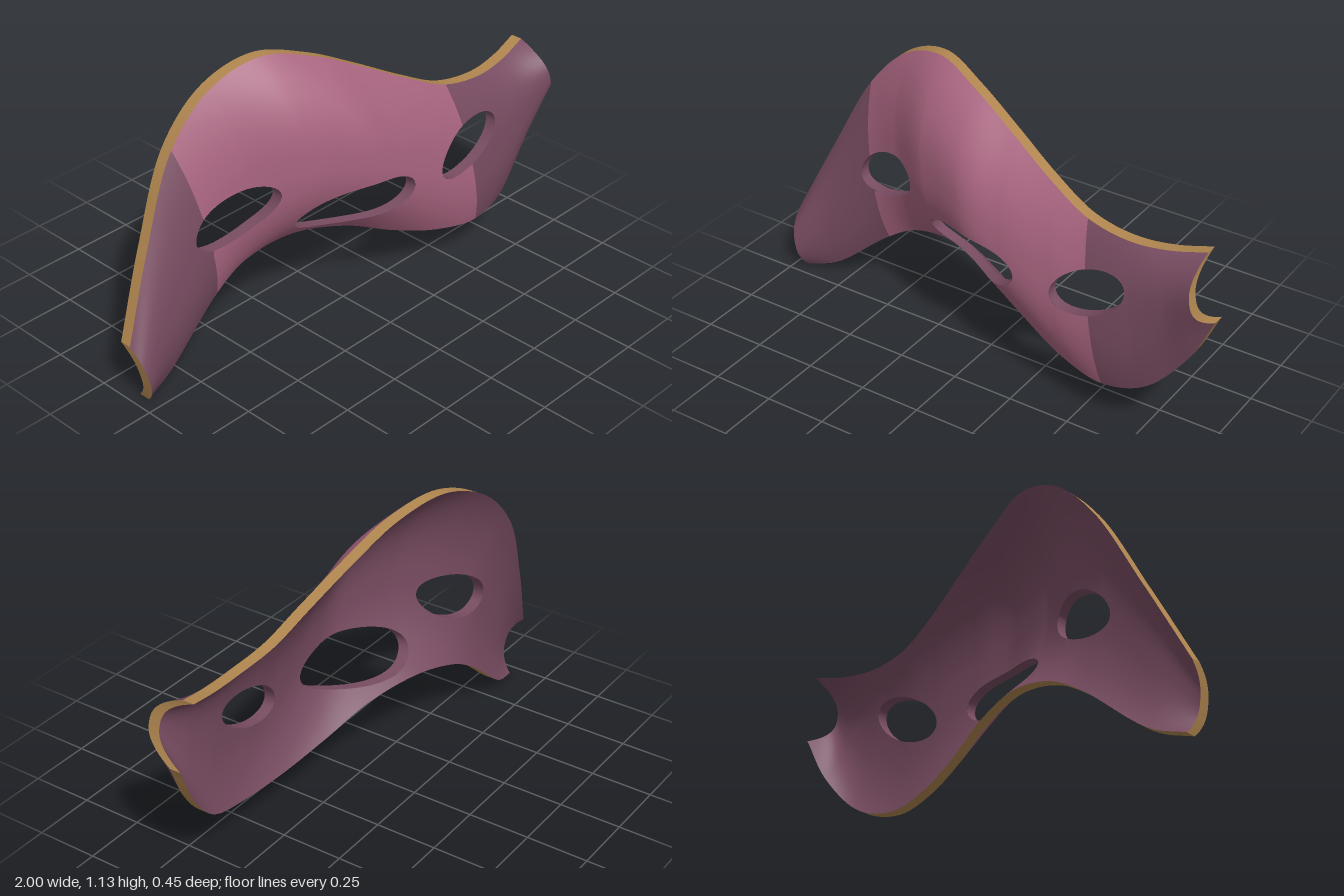
import * as THREE from 'three';

const THICK = 0.047, U = 220, V = 56;

// Stations from the model's right end to its left end:
// top edge x y z, bottom edge x y z, depth at mid height, sideways bow
const stations = [
  [-1.0, 0.25, -0.085, -0.95, 0.003, -0.06, -0.015, -0.005],
  [-0.85, 0.56, -0.14, -0.82, 0.045, -0.085, -0.06, 0],
  [-0.68, 0.88, -0.18, -0.56, 0.25, -0.105, -0.08, 0],
  [-0.5, 1.06, -0.165, -0.42, 0.33, -0.1, -0.03, 0],
  [-0.3, 1.13, -0.115, -0.22, 0.37, -0.06, 0.085, 0],
  [-0.1, 1.08, -0.045, 0.0, 0.335, 0.01, 0.16, 0],
  [0.1, 0.98, 0.01, 0.2, 0.25, 0.075, 0.172, 0],
  [0.3, 0.87, 0.06, 0.4, 0.185, 0.13, 0.172, 0],
  [0.47, 0.79, 0.09, 0.59, 0.163, 0.165, 0.18, 0],
  [0.65, 0.765, 0.105, 0.76, 0.21, 0.155, 0.188, 0],
  [0.8, 0.775, 0.095, 0.91, 0.37, 0.12, 0.197, -0.005],
  [0.94, 0.805, 0.075, 1.0, 0.55, 0.1, 0.22, -0.017],
];
const curve = (f) => new THREE.CatmullRomCurve3(stations.map((s) => new THREE.Vector3(...f(s))));
const topEdge = curve((s) => [s[0], s[1], s[2]]);
const bottomEdge = curve((s) => [s[3], s[4], s[5]]);
const bulge = curve((s) => [s[7], 0, s[6] - (s[2] + s[5]) / 2]);
// Seams of the wings, as grid columns
const SEAMS = [0, (U * 2) / 11, (U * 8) / 11, U];

// Front surface: a bowed cross-section swept between the two edges
function surface(u, v) {
  const bow = 1 - Math.pow(Math.abs(2 * v - 1), 2.4);
  return bottomEdge.getPoint(u).lerp(topEdge.getPoint(u), v).addScaledVector(bulge.getPoint(u), bow);
}

// Tilted elliptical openings: centre, half axes, tilt
const holes = [
  { name: 'rightEyeWall', x: -0.51, y: 0.58, a: 0.171, b: 0.091, tilt: 0.44 },
  { name: 'middleOpeningWall', x: -0.027, y: 0.484, a: 0.237, b: 0.102, tilt: 0.05 },
  { name: 'leftEyeWall', x: 0.52, y: 0.535, a: 0.166, b: 0.086, tilt: 0.44 },
];
function inHole(h, p) {
  const dx = p.x - h.x, dy = p.y - h.y, c = Math.cos(h.tilt), s = Math.sin(h.tilt);
  return Math.hypot((dx * c + dy * s) / h.a, (dy * c - dx * s) / h.b) < 1;
}
// Point on the rim of a hole, in a direction on the surface's own grid
function rimPoint(h, du, dv) {
  const k = 0.45 / Math.hypot(du * 2, dv);
  let lo = 0, hi = k;
  for (let n = 0; n < 24; n++) {
    const t = (lo + hi) / 2;
    if (inHole(h, surface(h.u + du * t, h.v + dv * t))) lo = t;
    else hi = t;
  }
  return surface(h.u + du * lo, h.v + dv * lo);
}

function mesh(name, positions, index, material) {
  const g = new THREE.BufferGeometry();
  g.setAttribute('position', new THREE.Float32BufferAttribute(positions, 3));
  g.setIndex(index);
  g.computeVertexNormals();
  const m = new THREE.Mesh(g, material);
  m.name = name;
  return m;
}

// Strip from the front rim straight back through the thickness
function wall(name, points, material) {
  const pos = [], idx = [];
  points.forEach((p, i) => {
    pos.push(p.x, p.y, p.z, p.x, p.y, p.z - THICK);
    const a = i * 2;
    if (i) idx.push(a - 2, a - 1, a, a, a - 1, a + 1);
  });
  return mesh(name, pos, idx, material);
}

export function createModel() {
  const group = new THREE.Group();
  group.name = 'mask';
  const paint = (color, side = THREE.FrontSide) => new THREE.MeshStandardMaterial({ color, side });
  const rose = paint(0xa8647f), plum = paint(0x784c61);
  const plumWall = paint(0x784c61, THREE.DoubleSide), tan = paint(0xb0864f, THREE.DoubleSide);

  // Grid of surface points
  const grid = [];
  for (let i = 0; i <= U; i++) {
    grid.push([]);
    for (let j = 0; j <= V; j++) grid[i].push(surface(i / U, j / V));
  }
  // Locate each hole's centre on the grid
  for (const h of holes) {
    let best = Infinity;
    grid.forEach((col, i) => col.forEach((p, j) => {
      const d = Math.hypot(p.x - h.x, p.y - h.y);
      if (d < best) { best = d; h.u = i / U; h.v = j / V; }
    }));
  }
  // Open the cells inside the holes and pull their borders onto the rims
  const open = new Set(), snap = new Map();
  for (let i = 0; i < U; i++) for (let j = 0; j < V; j++) {
    const mid = surface((i + 0.5) / U, (j + 0.5) / V);
    const h = holes.find((o) => inHole(o, mid));
    if (!h) continue;
    open.add(i * V + j);
    for (const [a, b] of [[i, j], [i + 1, j], [i + 1, j + 1], [i, j + 1]]) snap.set(a * (V + 1) + b, [h, a, b]);
  }
  for (const [h, a, b] of snap.values()) {
    const du = a / U - h.u, dv = b / V - h.v;
    if (du || dv) grid[a][b] = rimPoint(h, du, dv);
  }

  // One side of the shell between two grid columns
  function panel(name, from, to, back, material) {
    const pos = [], idx = [];
    for (let i = from; i <= to; i++) for (const p of grid[i]) pos.push(p.x, p.y, p.z - (back ? THICK : 0));
    for (let i = from; i < to; i++) for (let j = 0; j < V; j++) {
      if (open.has(i * V + j)) continue;
      const a = (i - from) * (V + 1) + j, b = a + V + 1;
      if (back) idx.push(a, b + 1, b, a, a + 1, b + 1);
      else idx.push(a, b, b + 1, a, b + 1, a + 1);
    }
    group.add(mesh(name, pos, idx, material));
  }
  panel('rightWingFront', SEAMS[0], SEAMS[1], false, plum);
  panel('centreFront', SEAMS[1], SEAMS[2], false, rose);
  panel('leftWingFront', SEAMS[2], SEAMS[3], false, plum);
  panel('back', 0, U, true, plum);

  // Outer edge strips
  group.add(wall('topEdge', grid.map((c) => c[V]), tan));
  group.add(wall('bottomEdge', grid.map((c) => c[0]), tan));
  group.add(wall('rightEndEdge', grid[0], tan));
  group.add(wall('leftEndEdge', grid[U], tan));

  // Walls of the openings
  for (const h of holes) {
    const ring = [];
    for (let k = 0; k <= 96; k++) {
      const t = (k / 96) * Math.PI * 2;
      ring.push(rimPoint(h, Math.cos(t) * 0.5, Math.sin(t)));
    }
    group.add(wall(h.name, ring, plumWall));
  }
  return group;
}
